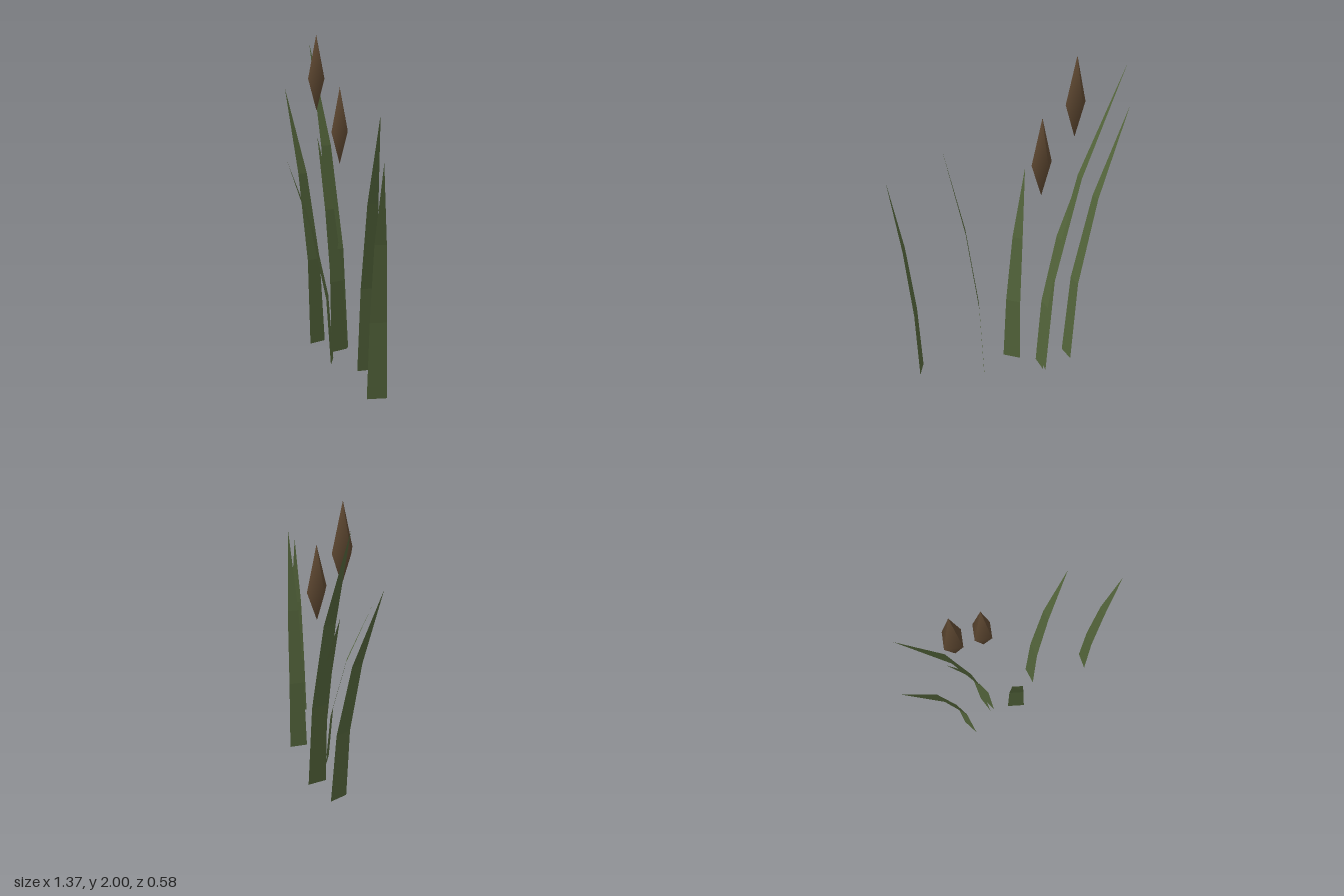
import * as THREE from 'three';

const leafGreen = new THREE.MeshStandardMaterial({ color: 0x52633a, side: THREE.DoubleSide, flatShading: true });
leafGreen.name = 'leafGreen';
const headBrown = new THREE.MeshStandardMaterial({ color: 0x5c4630 });
headBrown.name = 'headBrown';

// A flat blade of three segments that narrows to a point and bends over across its width
function blade(base, tip, height, halfWidth) {
  const lean = new THREE.Vector2(tip[0] - base[0], tip[1] - base[1]);
  const across = new THREE.Vector2(-lean.y, lean.x).normalize().multiplyScalar(halfWidth);
  const segments = 3;
  const points = [];
  const index = [];
  for (let i = 0; i <= segments; i++) {
    const t = i / segments;
    const taper = Math.sqrt(1 - t);
    const x = base[0] + lean.x * t * t;
    const z = base[1] + lean.y * t * t;
    for (const s of [-1, 1]) {
      points.push(x + s * across.x * taper, height * t, z + s * across.y * taper);
    }
    if (i < segments) {
      const a = i * 2;
      index.push(a, a + 2, a + 1);
      if (i < segments - 1) index.push(a + 1, a + 2, a + 3);
    }
  }
  const geometry = new THREE.BufferGeometry();
  geometry.setAttribute('position', new THREE.Float32BufferAttribute(points, 3));
  geometry.setIndex(index);
  geometry.computeVertexNormals();
  return new THREE.Mesh(geometry, leafGreen);
}

// A four-sided spindle standing on its lower point
function seedHead() {
  const profile = [[0, 0], [0.069, 0.2], [0, 0.47]].map(([r, y]) => new THREE.Vector2(r, y));
  return new THREE.Mesh(new THREE.LatheGeometry(profile, 4), headBrown);
}

export function createModel() {
  const model = new THREE.Group();
  model.name = 'reeds';

  // Blades: base [x, z], tip [x, z], height, half width
  const blades = [
    [[-0.313, -0.147], [-0.682, -0.19], 1.67, 0.058],
    [[-0.115, -0.163], [-0.55, -0.294], 1.96, 0.06],
    [[-0.1, -0.145], [-0.357, -0.19], 1.36, 0.058],
    [[0.008, 0.02], [-0.198, 0.192], 1.24, 0.058],
    [[0.251, -0.036], [0.434, 0.056], 1.54, 0.058],
    [[0.574, 0.21], [0.683, 0.289], 1.315, 0.057],
  ];
  blades.forEach((spec, i) => {
    const mesh = blade(...spec);
    mesh.name = `blade${i + 1}`;
    model.add(mesh);
  });

  // Seed heads: position of the lower point
  const heads = [[-0.315, 1.53, -0.146], [-0.095, 1.21, -0.14]];
  heads.forEach((position, i) => {
    const mesh = seedHead();
    mesh.position.set(...position);
    mesh.name = `seedHead${i + 1}`;
    model.add(mesh);
  });

  return model;
}
